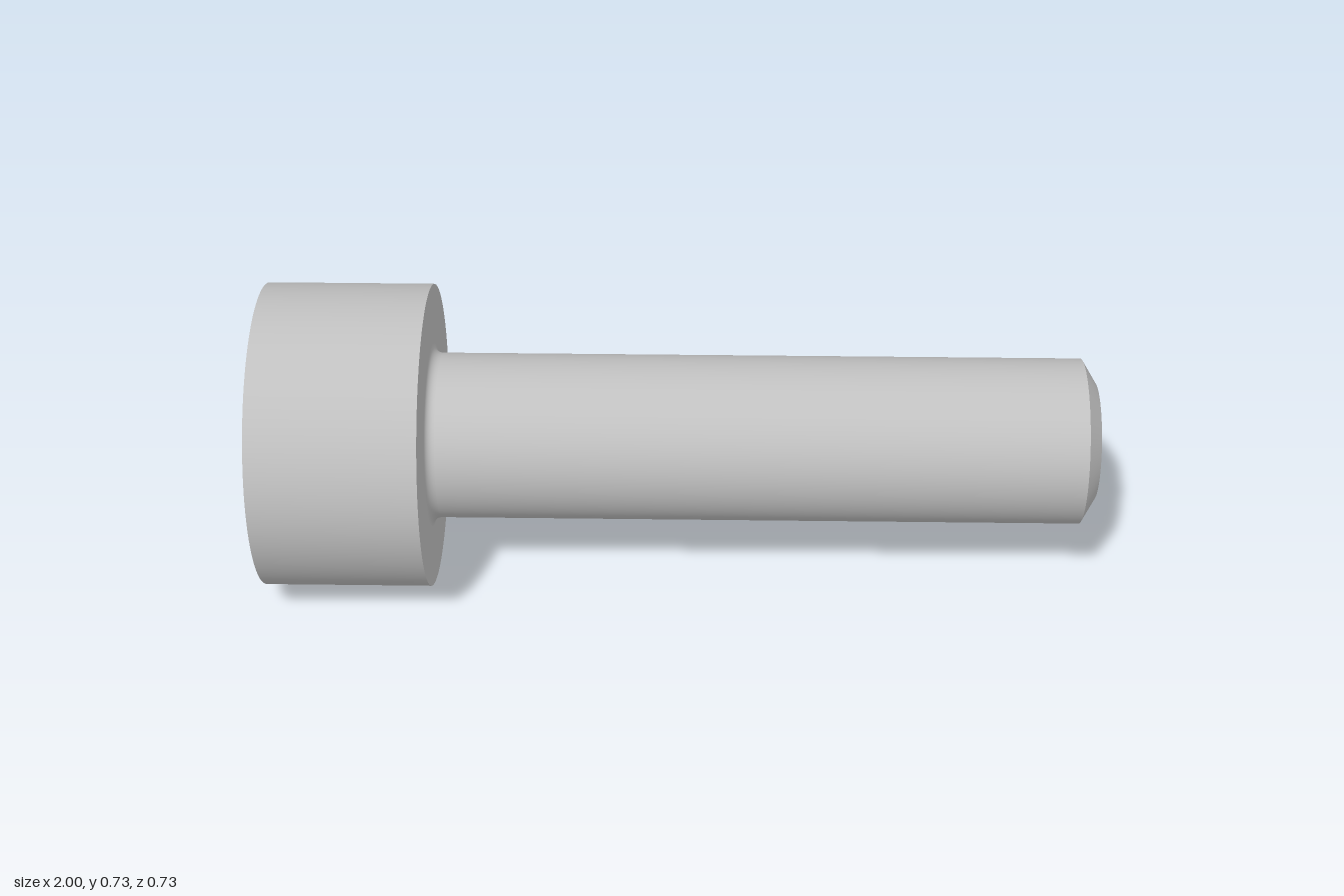
import * as THREE from 'three';

const HEAD_R = 0.3667, SHANK_R = 0.2, TIP_R = 0.142, FILLET = 0.022;
const HEAD_X = -1, NECK_X = -0.6, CHAMFER_X = 0.965, TIP_X = 1;
const HEX_R = 0.3333 / Math.sqrt(3), SOCKET_X = -0.827;

export function createModel() {
  const steel = new THREE.MeshStandardMaterial({ color: 0xc0c0c0 });
  steel.name = 'steel grey';

  const bolt = new THREE.Group();
  bolt.name = 'socketHeadBolt';
  bolt.position.y = HEAD_R;

  const add = (name, geometry) => {
    const mesh = new THREE.Mesh(geometry, steel);
    mesh.name = name;
    bolt.add(mesh);
  };

  // Turned surface along x; profile points are [radius, x]
  const turned = (profile, sides = 96, start = 0) =>
    new THREE.LatheGeometry(profile.map(([r, x]) => new THREE.Vector2(r, x)), sides, start)
      .rotateZ(-Math.PI / 2);

  // Head: side wall and bearing face
  add('headSide', turned([[HEAD_R, HEAD_X], [HEAD_R, NECK_X]]));
  add('bearingFace', turned([[HEAD_R, NECK_X], [SHANK_R + FILLET, NECK_X]]));

  // Head end face with a hexagonal opening
  const face = new THREE.Shape().absarc(0, 0, HEAD_R, 0, Math.PI * 2);
  const hex = [];
  for (let i = 0; i < 6; i++) {
    const a = Math.PI / 2 + i * Math.PI / 3;
    hex.push(new THREE.Vector2(HEX_R * Math.cos(a), HEX_R * Math.sin(a)));
  }
  face.holes.push(new THREE.Path(hex));
  add('headFace', new THREE.ShapeGeometry(face, 96).rotateY(-Math.PI / 2).translate(HEAD_X, 0, 0));

  // Hex socket: flat floor and six inward-facing walls
  const socket = turned([[0, SOCKET_X], [HEX_R, SOCKET_X], [HEX_R, HEAD_X]], 6, Math.PI / 2).toNonIndexed();
  socket.computeVertexNormals();
  add('hexSocket', socket);

  // Fillet under the head
  const fillet = [];
  for (let i = 0; i <= 8; i++) {
    const a = i / 8 * Math.PI / 2;
    fillet.push([SHANK_R + FILLET * (1 - Math.sin(a)), NECK_X + FILLET * (1 - Math.cos(a))]);
  }
  add('neckFillet', turned(fillet));

  // Shank, chamfer and flat tip
  add('shank', turned([[SHANK_R, NECK_X + FILLET], [SHANK_R, CHAMFER_X]]));
  add('tipChamfer', turned([[SHANK_R, CHAMFER_X], [TIP_R, TIP_X]]));
  add('tipFace', new THREE.CircleGeometry(TIP_R, 96).rotateY(Math.PI / 2).translate(TIP_X, 0, 0));

  const model = new THREE.Group();
  model.name = 'bolt';
  model.add(bolt);
  return model;
}
